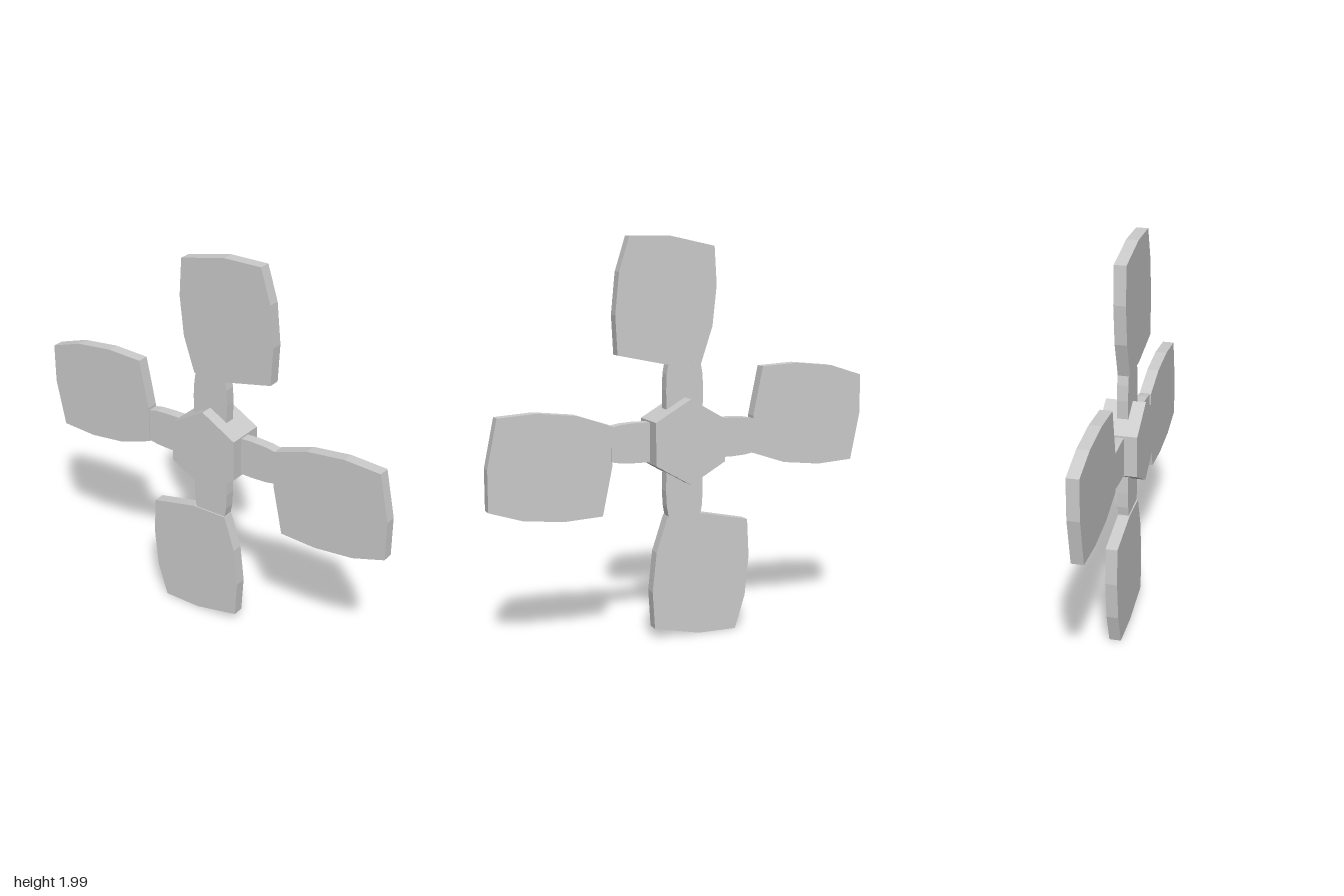
import * as THREE from 'three';

const material = new THREE.MeshStandardMaterial({ color: 0xcccccc, flatShading: true });

// Flat plate cut from an outline, spanning z0 to z1
function plate(name, points, z0, z1) {
  const shape = new THREE.Shape(points.map(([x, y]) => new THREE.Vector2(x, y)));
  const geometry = new THREE.ExtrudeGeometry(shape, { depth: z1 - z0, bevelEnabled: false });
  geometry.translate(0, 0, z0);
  const mesh = new THREE.Mesh(geometry, material);
  mesh.name = name;
  return mesh;
}

// Outlines of the upward-pointing blade, measured from the hub centre
const bladeOutline = [
  [-0.09, 0.378], [0.1, 0.378], [0.348, 0.43], [0.358, 0.622], [0.337, 0.827],
  [0.283, 0.997], [0.08, 0.997], [-0.16, 0.947], [-0.172, 0.757], [-0.15, 0.557],
];
const armOutline = [
  [-0.095, 0.1], [0.095, 0.1], [0.098, 0.25], [0.095, 0.33], [0.085, 0.385],
  [-0.085, 0.385], [-0.095, 0.33], [-0.1, 0.25],
];

export function createModel() {
  const model = new THREE.Group();
  model.name = 'propeller';
  const rotor = new THREE.Group();
  rotor.name = 'rotor';
  rotor.position.y = 1.003;
  model.add(rotor);

  // Hexagonal hub with a corner pointing up
  const hubGeometry = new THREE.CylinderGeometry(0.212, 0.212, 0.2, 6);
  hubGeometry.rotateX(Math.PI / 2);
  const hub = new THREE.Mesh(hubGeometry, material);
  hub.name = 'hub';
  rotor.add(hub);

  // Four identical arms with offset paddle blades
  for (let i = 0; i < 4; i++) {
    const wing = new THREE.Group();
    wing.name = `wing${i + 1}`;
    wing.add(plate('arm', armOutline, -0.02, 0.035));
    wing.add(plate('blade', bladeOutline, -0.018, 0.042));
    wing.rotation.z = (i * Math.PI) / 2;
    rotor.add(wing);
  }
  return model;
}
